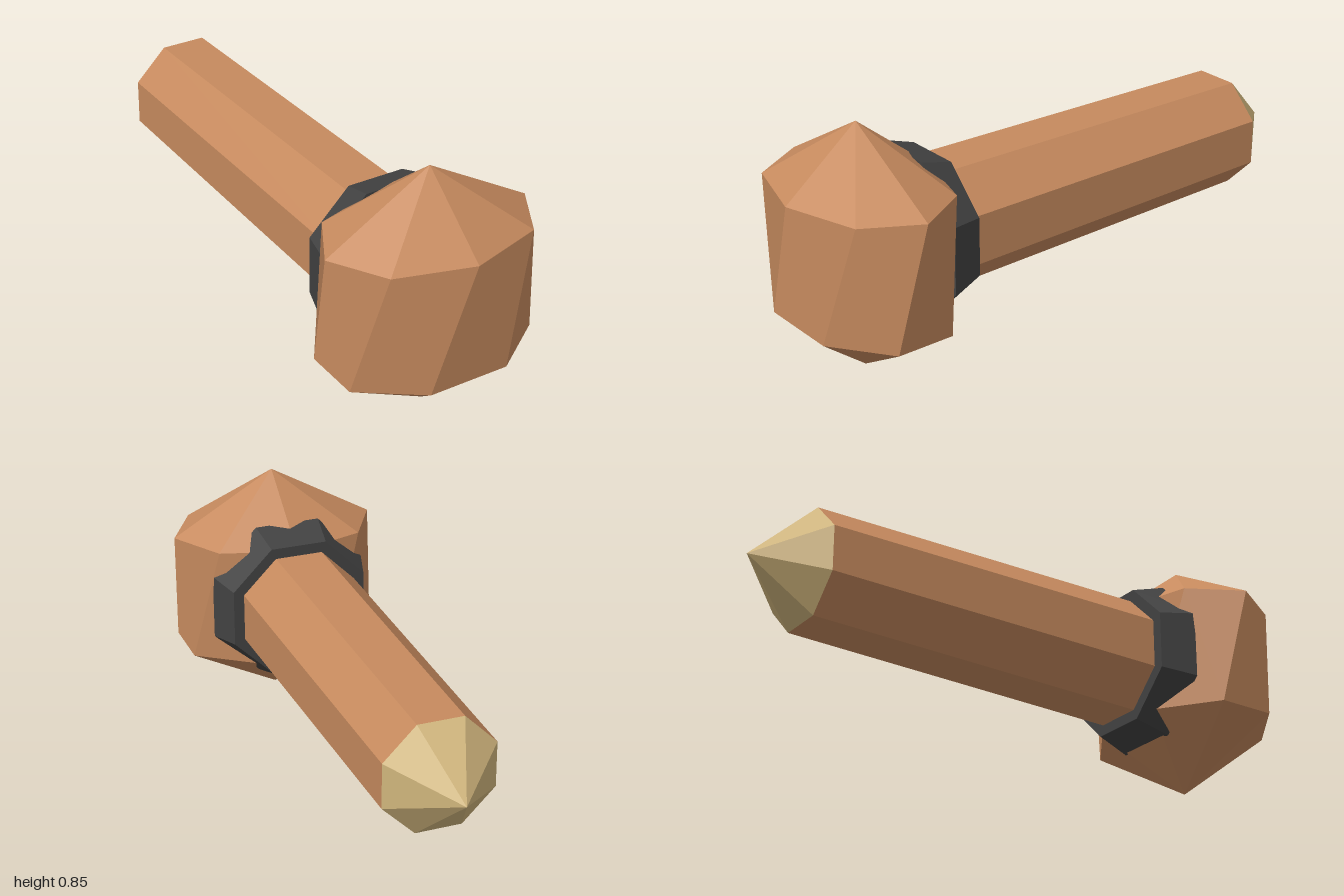
import * as THREE from 'three';

const SIDES = 8;
const STEP = (Math.PI * 2) / SIDES;
const AXIS_Y = 0.43;

const wood = new THREE.MeshStandardMaterial({ color: 0xc68a5e });
wood.name = 'wood';
const iron = new THREE.MeshStandardMaterial({ color: 0x424242 });
iron.name = 'darkIron';
const horn = new THREE.MeshStandardMaterial({ color: 0xd0b57c });
horn.name = 'paleTip';

// Faceted eight-sided section along z, with flats facing up and sideways
function section(name, material, zBack, zFront, flatBack, flatFront) {
  const k = 1 / Math.cos(STEP / 2);
  let g = new THREE.CylinderGeometry(flatFront * k, flatBack * k, zFront - zBack, SIDES, 1, false, STEP / 2);
  g.rotateX(Math.PI / 2);
  g.translate(0, AXIS_Y, (zBack + zFront) / 2);
  g = g.toNonIndexed();
  g.computeVertexNormals();
  const mesh = new THREE.Mesh(g, material);
  mesh.name = name;
  return mesh;
}

// Flattened head: two rings, the lower turned by half a step, and a pole at each end
function headGeometry() {
  const rx = 0.369, rz = 0.265, zc = 0.735;
  const point = (a, y) => new THREE.Vector3(rx * Math.sin(a), y, zc + rz * Math.cos(a));
  const upper = (i) => point(i * STEP, 0.643);
  const lower = (i) => point((i - 0.5) * STEP, 0.217);
  const top = new THREE.Vector3(0, 0.856, zc);
  const bottom = new THREE.Vector3(0, 0.004, zc);
  const positions = [], normals = [];

  // One flat-shaded face: normal from two spanning vectors
  const face = (corners, u, v) => {
    const n = u.clone().cross(v).normalize();
    for (const c of corners) {
      positions.push(c.x, c.y, c.z);
      normals.push(n.x, n.y, n.z);
    }
  };
  const triangle = (a, b, c) => face([a, b, c], b.clone().sub(a), c.clone().sub(a));
  const quad = (a, b, c, d) => face([a, b, d, b, c, d], c.clone().sub(a), d.clone().sub(b));

  for (let i = 0; i < SIDES; i++) {
    triangle(upper(i), upper(i + 1), top);
    quad(lower(i), lower(i + 1), upper(i + 1), upper(i));
    triangle(lower(i + 1), lower(i), bottom);
  }
  const g = new THREE.BufferGeometry();
  g.setAttribute('position', new THREE.Float32BufferAttribute(positions, 3));
  g.setAttribute('normal', new THREE.Float32BufferAttribute(normals, 3));
  return g;
}

export function createModel() {
  const model = new THREE.Group();
  model.name = 'mallet';

  const head = new THREE.Mesh(headGeometry(), wood);
  head.name = 'head';

  model.add(
    head,
    section('collar', iron, 0.45, 0.573, 0.243, 0.28),
    section('handle', wood, -0.8, 0.56, 0.189, 0.207),
    section('tip', horn, -1, -0.8, 0, 0.189),
  );
  return model;
}
